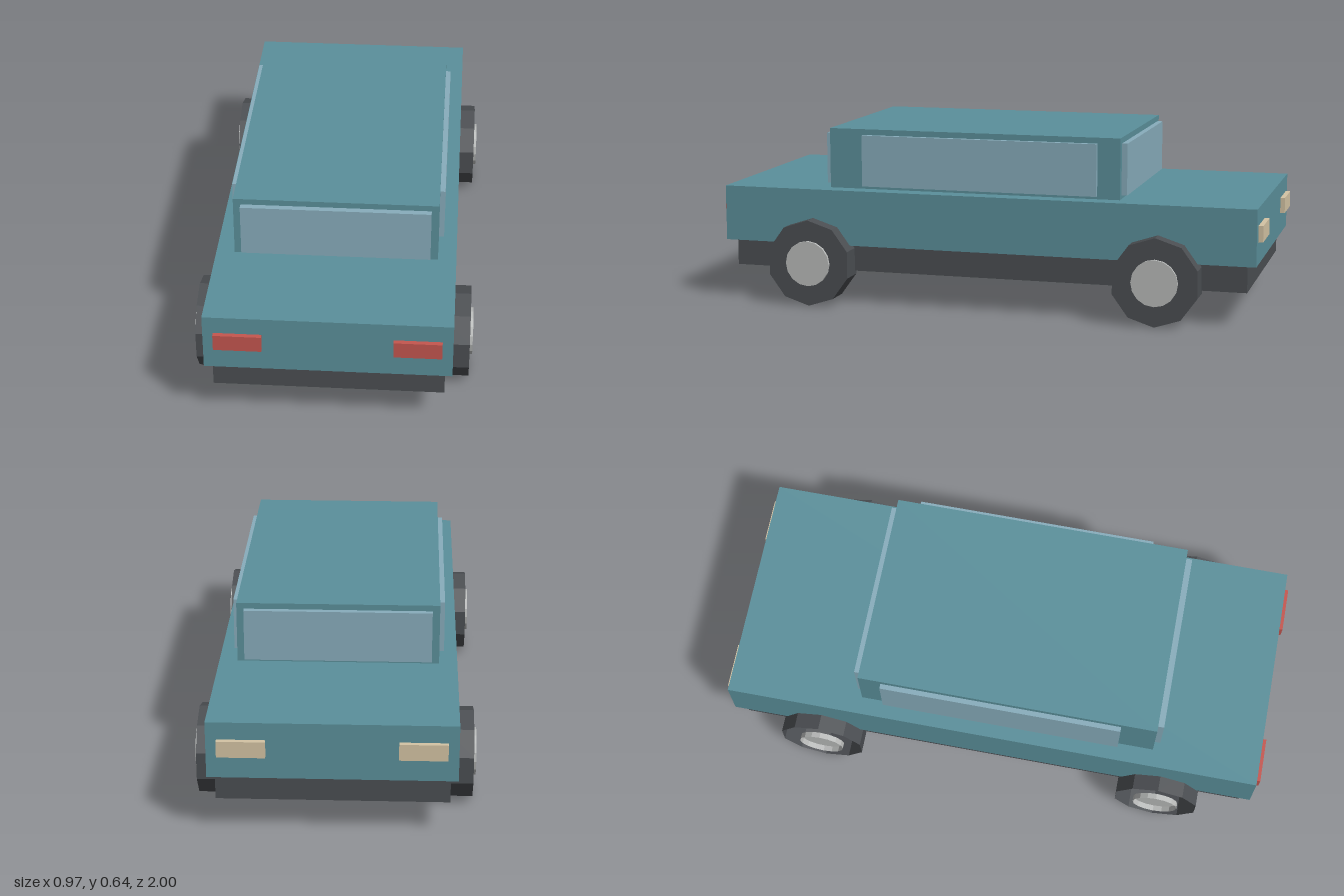
import * as THREE from 'three';

const mat = (name, color, open) => {
  const m = new THREE.MeshStandardMaterial({ color, flatShading: true });
  m.name = name;
  if (open) m.side = THREE.DoubleSide;
  return m;
};

export function createModel() {
  const teal = mat('bodyPaint', 0x5b909b);
  const dark = mat('darkTrim', 0x4b4e52, true);
  const glass = mat('glass', 0x88adbc);
  const red = mat('redLamp', 0xc4564f);
  const cream = mat('creamLamp', 0xd4c4a4);
  const metal = mat('hubMetal', 0xbabcbb, true);

  const car = new THREE.Group();
  car.name = 'car';

  // Box given by its extents on each axis
  const box = (name, material, [x0, x1], [y0, y1], [z0, z1]) => {
    const mesh = new THREE.Mesh(new THREE.BoxGeometry(x1 - x0, y1 - y0, z1 - z0), material);
    mesh.position.set((x0 + x1) / 2, (y0 + y1) / 2, (z0 + z1) / 2);
    mesh.name = name;
    car.add(mesh);
  };

  // Drum along x, open on its -x end and capped on its +x end
  const drum = (name, material, radius, width, sides) => {
    const g = new THREE.Group();
    g.name = name;
    const wall = new THREE.Mesh(new THREE.CylinderGeometry(radius, radius, width, sides, 1, true), material);
    wall.rotation.set(0, 0, -Math.PI / 2);
    // a corner of the polygon points straight up
    wall.geometry.rotateY(Math.PI / 2);
    const cap = new THREE.Mesh(new THREE.CircleGeometry(radius, sides, Math.PI / 2), material);
    cap.rotation.y = Math.PI / 2;
    cap.position.x = width / 2;
    wall.name = name + 'Wall';
    cap.name = name + 'Cap';
    g.add(wall, cap);
    return g;
  };

  // Chassis, body and cabin
  box('chassis', dark, [-0.393, 0.393], [0.123, 0.221], [-0.95, 0.95]);
  box('body', teal, [-0.418, 0.418], [0.22, 0.422], [-0.983, 0.983]);
  box('cabin', teal, [-0.354, 0.354], [0.42, 0.641], [-0.49, 0.593]);

  // Windows
  box('frontWindow', glass, [-0.328, 0.328], [0.435, 0.62], [0.59, 0.615]);
  box('rearWindow', glass, [-0.328, 0.328], [0.435, 0.62], [-0.51, -0.485]);
  box('leftWindow', glass, [0.35, 0.372], [0.433, 0.62], [-0.408, 0.465]);
  box('rightWindow', glass, [-0.372, -0.35], [0.433, 0.62], [-0.408, 0.465]);

  for (const s of [-1, 1]) {
    const xs = s > 0 ? [0.22, 0.382] : [-0.382, -0.22];
    // Lamps at both ends
    box('frontLamp', red, xs, [0.302, 0.36], [0.975, 1]);
    box('rearLamp', cream, xs, [0.302, 0.36], [-1, -0.975]);

    // Wheels with hubs
    for (const z of [-0.64, 0.64]) {
      const wheel = new THREE.Group();
      wheel.name = 'wheel';
      const tyre = drum('tyre', dark, 0.158, 0.095, 10);
      const hub = drum('hub', metal, 0.083, 0.02, 16);
      hub.position.x = s * 0.048;
      wheel.add(tyre, hub);
      wheel.position.set(s * 0.427, 0.158, z);
      car.add(wheel);
    }
  }
  return car;
}
